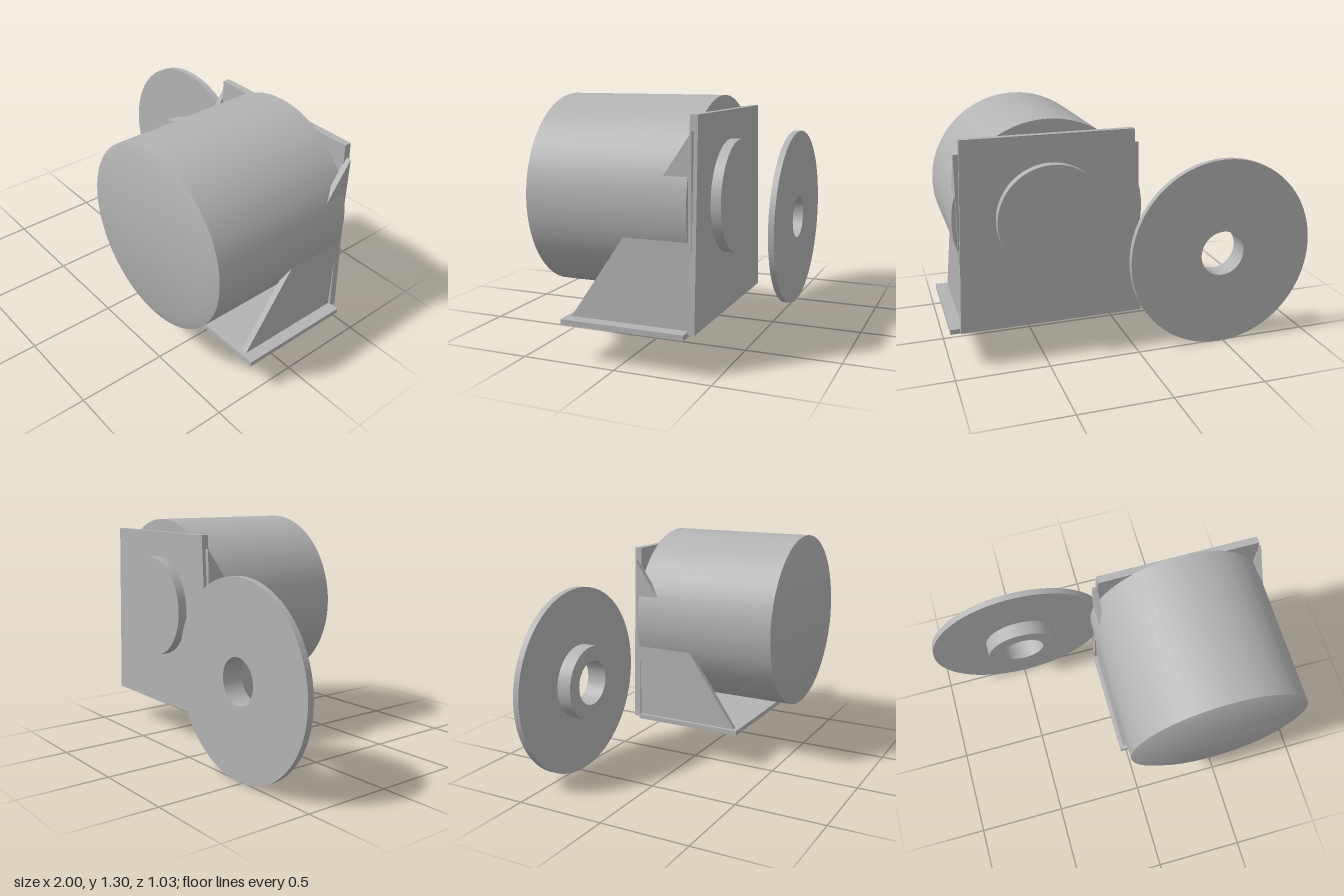
import * as THREE from 'three';
import { toCreasedNormals } from 'three/addons/utils/BufferGeometryUtils.js';

const CREASE = Math.PI / 5;

// Turned part along z; profile is [radius, z] pairs, outer side running back to front
function turned(profile, x, y) {
  const pts = profile.map(([r, z]) => new THREE.Vector2(r, z));
  const geo = new THREE.LatheGeometry(pts, 72).rotateX(Math.PI / 2);
  return toCreasedNormals(geo, CREASE).translate(x, y, 0);
}

// Flat plate cut from an outline and extruded along z
function plate(outline, depth) {
  const shape = new THREE.Shape(outline.map(([a, b]) => new THREE.Vector2(a, b)));
  return new THREE.ExtrudeGeometry(shape, { depth, bevelEnabled: false });
}

export function createModel() {
  const model = new THREE.Group();
  model.name = 'motorWithFlange';
  const grey = new THREE.MeshStandardMaterial({ color: 0xb3b3b3 });
  grey.name = 'plainGrey';

  const add = (name, geo) => {
    const mesh = new THREE.Mesh(geo, grey);
    mesh.name = name;
    model.add(mesh);
  };

  const cx = 0.45, cy = 0.797;

  // Motor drum with a chamfered front rim
  add('motorDrum', turned(
    [[0, -0.357], [0.504, -0.357], [0.504, 0.49], [0.435, 0.514], [0, 0.514]], cx, cy));

  // Boss behind the mounting plate
  add('rearBoss', turned([[0, -0.447], [0.288, -0.447], [0.288, -0.39], [0, -0.39]], cx, cy));

  // Upright plate, slightly wider at the foot
  add('mountingPlate', plate(
    [[-0.045, 0.21], [0.945, 0.21], [0.9, 1.23], [0, 1.23]], 0.04).translate(0, 0, -0.395));

  // Foot plate
  add('basePlate', new THREE.BoxGeometry(1.045, 0.027, 0.65).translate(0.4725, 0.21, -0.035));

  // Triangular side gussets, drawn in (-z, y) and turned to face +x
  for (const [name, x] of [['leftGusset', 0.9], ['rightGusset', -0.03]]) {
    const geo = plate([[-0.267, 0.22], [0.375, 0.22], [0.375, 1.155]], 0.03);
    add(name, geo.rotateY(Math.PI / 2).translate(x, 0, 0));
  }

  // Loose disc with a hub and a through bore
  add('flangeDisc', turned([
    [0.125, -0.513], [0.5265, -0.513], [0.5265, -0.478], [0.208, -0.478],
    [0.208, -0.395], [0.125, -0.395], [0.125, -0.513],
  ], -0.4735, 0.53));

  return model;
}
